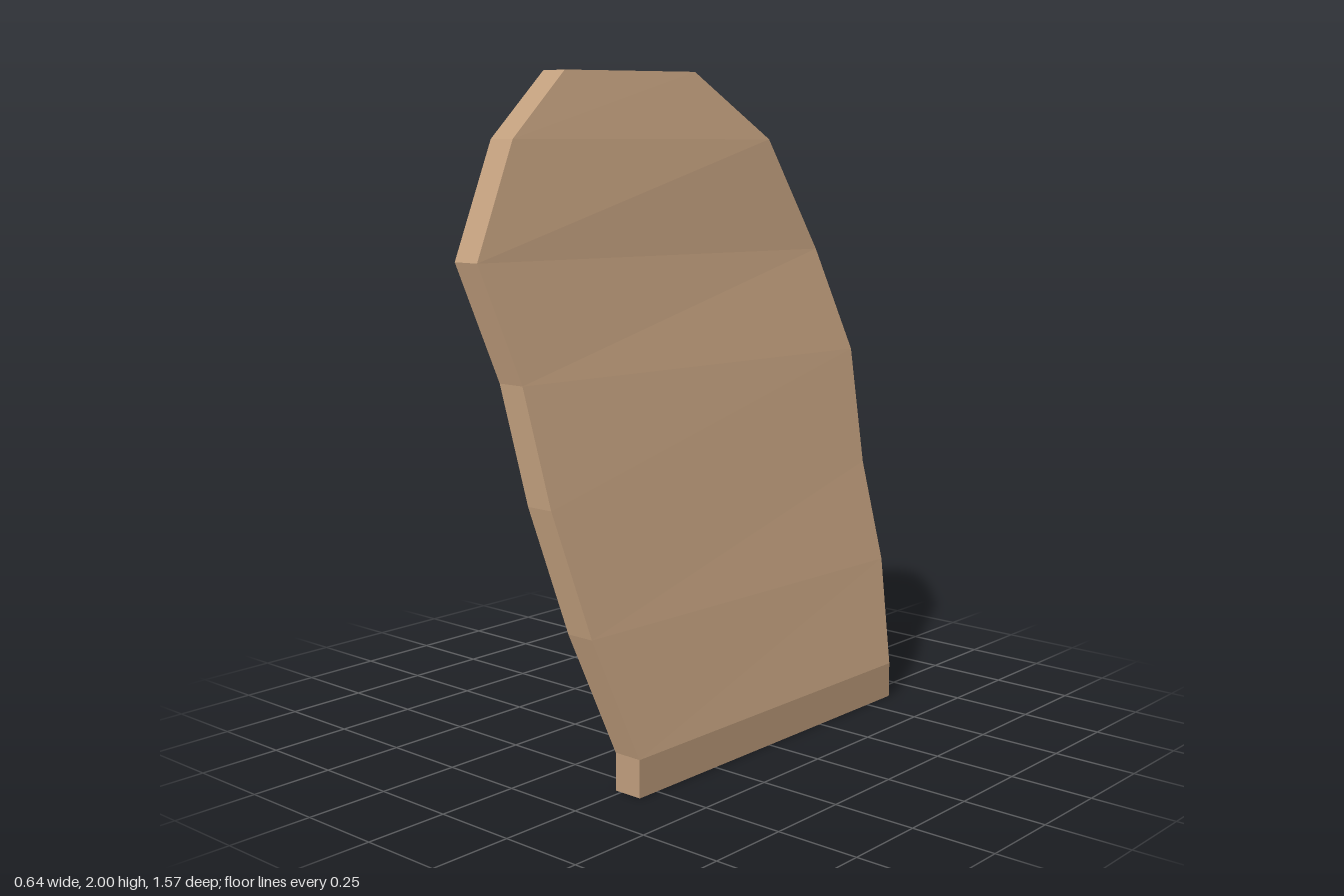
import * as THREE from 'three';

// Cross-sections from foot to top, one pair per row:
// [y, z, outer x, inner x] at the front edge, then at the back edge
const rows = [
  [[0, 0.57, 0.32, 0.23], [0, -0.62, 0.32, 0.23]],
  [[0.11, 0.57, 0.32, 0.23], [0.11, -0.62, 0.32, 0.23]],
  [[0.45, 0.66, 0.23, 0.14], [0.43, -0.695, 0.23, 0.14]],
  [[0.8, 0.71, 0.13, 0.04], [0.74, -0.715, 0.135, 0.05]],
  [[1.13, 0.715, 0.03, -0.06], [1.1, -0.785, 0.03, -0.055]],
  [[1.46, 0.785, -0.065, -0.155], [1.43, -0.737, -0.085, -0.17]],
  [[1.79, 0.56, -0.16, -0.25], [1.79, -0.578, -0.16, -0.25]],
  [[1.99, 0.28, -0.235, -0.325], [2.0, -0.296, -0.235, -0.305]],
];

// Closed solid lofted through four-cornered sections
function loft(sections) {
  const pos = [];
  const quad = (a, b, c, d) => pos.push(...a, ...b, ...c, ...a, ...c, ...d);
  const rings = sections.map(([f, b]) => [
    [f[2], f[0], f[1]], [b[2], b[0], b[1]],
    [b[3], b[0], b[1]], [f[3], f[0], f[1]],
  ]);
  for (let i = 0; i < rings.length - 1; i++) {
    const lo = rings[i], hi = rings[i + 1];
    for (let k = 0; k < 4; k++) {
      const n = (k + 1) % 4;
      quad(lo[k], lo[n], hi[n], hi[k]);
    }
  }
  const foot = rings[0], top = rings[rings.length - 1];
  quad(foot[3], foot[2], foot[1], foot[0]);
  quad(top[0], top[1], top[2], top[3]);
  const geo = new THREE.BufferGeometry();
  geo.setAttribute('position', new THREE.Float32BufferAttribute(pos, 3));
  geo.computeVertexNormals(); // unshared corners give flat facets
  return geo;
}

export function createModel() {
  const group = new THREE.Group();
  group.name = 'leaningPanel';
  const tan = new THREE.MeshStandardMaterial({ color: 0xbf9d7c });
  tan.name = 'tan';

  // Leaning slab with an uneven rounded outline and a short upright foot
  const slab = new THREE.Mesh(loft(rows), tan);
  slab.name = 'slab';
  group.add(slab);
  return group;
}
